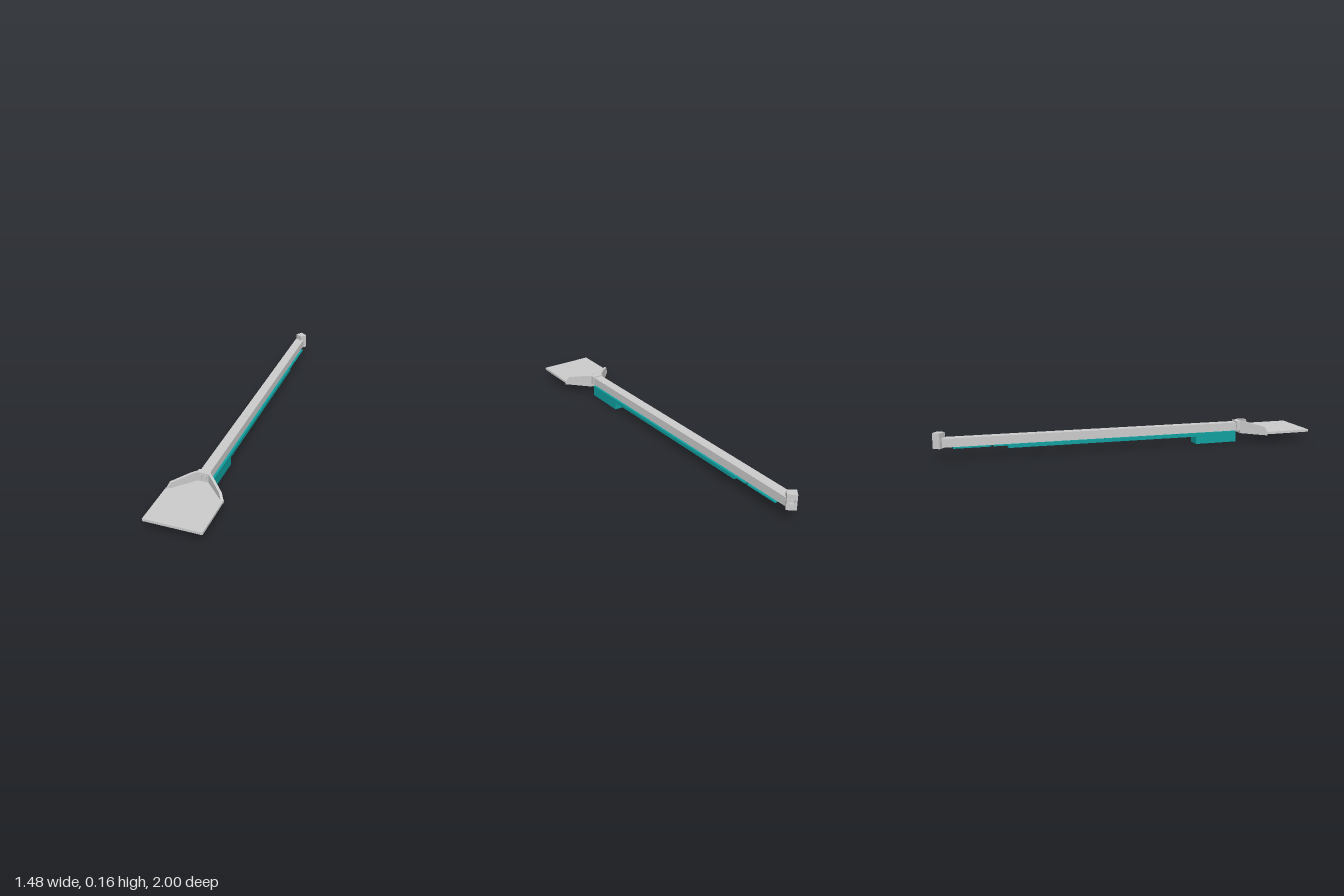
import * as THREE from 'three';

const grey = new THREE.MeshStandardMaterial({ color: 0xcccccc, flatShading: true });
const teal = new THREE.MeshStandardMaterial({ color: 0x0f9f9f, flatShading: true });

function add(parent, name, geometry, material = grey) {
  const mesh = new THREE.Mesh(geometry, material);
  mesh.name = name;
  parent.add(mesh);
  return mesh;
}

// Box centred on x = 0, given by half width and its y and z limits
function slab(parent, name, half, y0, y1, z0, z1, material) {
  const mesh = add(parent, name, new THREE.BoxGeometry(half * 2, y1 - y0, Math.abs(z1 - z0)), material);
  mesh.position.set(0, (y0 + y1) / 2, (z0 + z1) / 2);
  return mesh;
}

const shapeOf = (pts) => new THREE.Shape(pts.map(([x, y]) => new THREE.Vector2(x, y)));
const extrude = (shape, depth) =>
  new THREE.ExtrudeGeometry(shape, { depth, bevelEnabled: false, curveSegments: 16 });

export function createModel() {
  const model = new THREE.Group();
  const turned = new THREE.Group();
  turned.name = 'arm';
  turned.rotation.y = THREE.MathUtils.degToRad(-35);
  model.add(turned);
  const arm = new THREE.Group();
  arm.position.x = 0.0175;
  turned.add(arm);

  // Long beam with its belt trays, rising slightly towards the tip
  const boom = new THREE.Group();
  boom.name = 'boom';
  boom.rotation.x = 0.004;
  arm.add(boom);
  const joints = [0.66, 0.02, -0.64, -1.185];
  for (let i = 0; i < 3; i++)
    slab(boom, 'beamSection', 0.029, 0.071, 0.1225, joints[i] - 0.001, joints[i + 1] + 0.001);
  const gaps = [0.637, 0.4, 0.235, 0, -0.235, -0.47, -0.7, -0.903, -1.13];
  for (let i = 0; i < gaps.length - 1; i++)
    slab(boom, 'tray', 0.0425, 0.064, 0.0708, gaps[i] - 0.006, gaps[i + 1] + 0.006, teal);
  slab(boom, 'lowerChannel', 0.0425, 0.049, 0.0645, 0.37, -0.81, teal);
  slab(arm, 'baseBox', 0.0425, 0, 0.068, 0.635, 0.364, teal);

  // Scoop plate and tapering floor
  slab(arm, 'scoopPlate', 0.166, 0.06, 0.075, 1.087, 0.798);
  const floor = extrude(shapeOf([[-0.166, -0.8], [0.166, -0.8], [0.042, -0.665], [-0.042, -0.665]]), 0.021);
  floor.rotateX(-Math.PI / 2);
  add(arm, 'funnelFloor', floor).position.y = 0.052;

  // Side walls of the funnel
  const dx = 0.126, dz = 0.135, length = Math.hypot(dx, dz), thick = 0.015;
  for (const side of [-1, 1]) {
    const profile = shapeOf([[0, 0.07], [length, 0.07], [length, 0.127], [length * 0.82, 0.127], [0.025, 0.107]]);
    const geometry = extrude(profile, thick);
    if (side > 0) geometry.translate(0, 0, -thick);
    const wall = add(arm, 'funnelWall', geometry);
    wall.position.set(side * 0.166, 0, 0.8);
    wall.rotation.y = Math.atan2(dz, -side * dx);
  }

  // Collar where the beam meets the funnel, with two ribs
  slab(arm, 'collar', 0.037, 0.07, 0.127, 0.678, 0.645);
  for (const x of [-0.014, 0.014])
    slab(arm, 'collarRib', 0.005, 0.085, 0.115, 0.684, 0.676).position.x = x;

  // Angled tip block with a round socket in its outer face
  const tip = new THREE.Group();
  tip.name = 'tipBlock';
  tip.position.set(0.0215, 0.1135, -1.217);
  tip.rotation.y = Math.atan2(0.618, -0.786);
  arm.add(tip);
  const w = 0.0275, h = 0.0455;
  const face = shapeOf([[-w, -h], [w, -h], [w, h], [-w, h]]);
  const hole = new THREE.Path();
  hole.absarc(0, 0.005, 0.017, 0, Math.PI * 2, true);
  face.holes.push(hole);
  add(tip, 'socketFace', extrude(face, 0.02)).position.z = -0.02;
  add(tip, 'tipBack', new THREE.BoxGeometry(w * 2, h * 2, 0.028)).position.z = -0.034;
  const pin = new THREE.CylinderGeometry(0.009, 0.009, 0.016, 16);
  pin.rotateX(Math.PI / 2);
  add(tip, 'socketPin', pin).position.set(0, 0.005, -0.012);

  return model;
}
